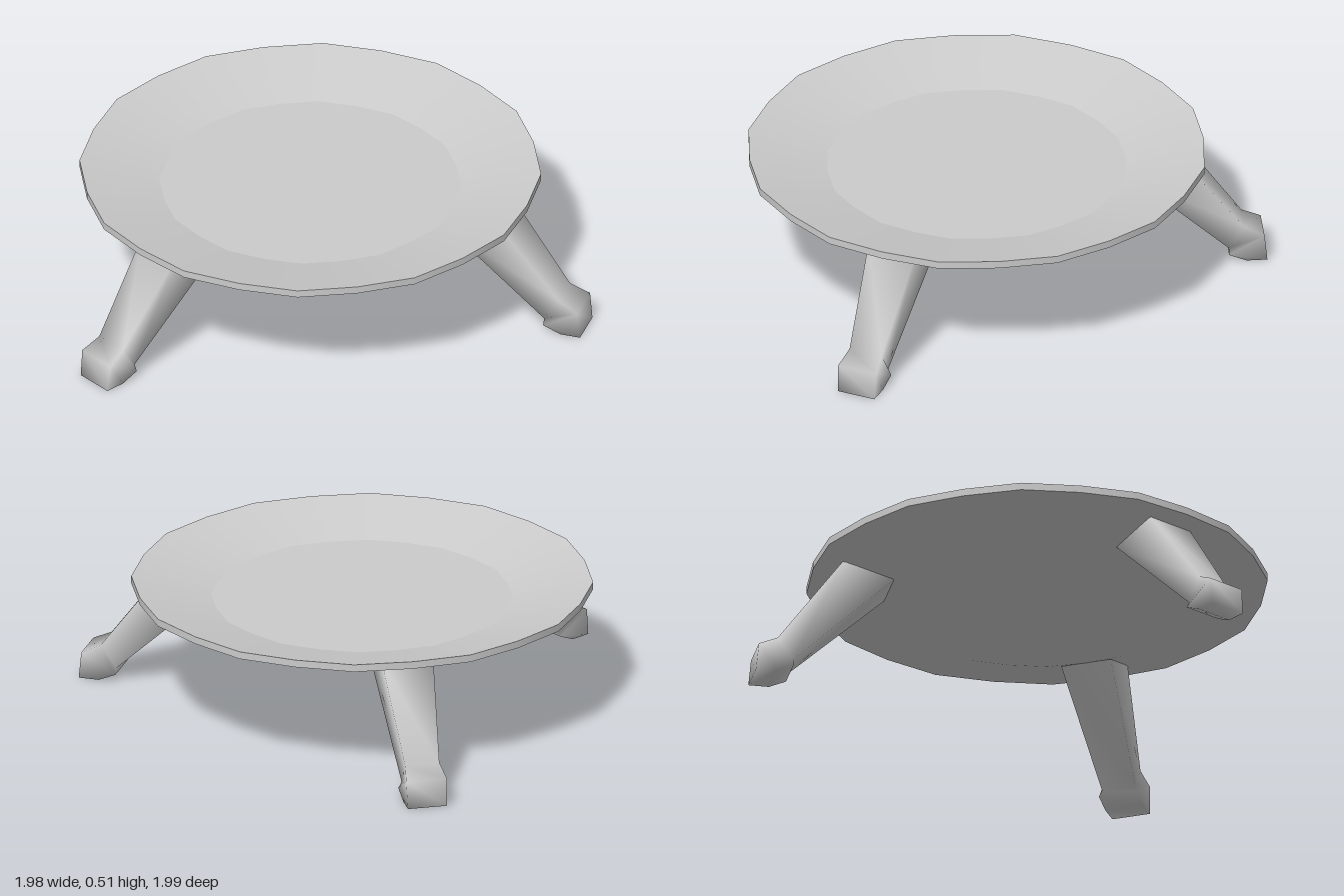
import * as THREE from 'three';

const material = new THREE.MeshStandardMaterial({ color: 0xcccccc, side: THREE.DoubleSide });
const SIDES = 24;

// One smooth band of the dish, swept from [radius, y] points; every other
// corner sits slightly further out, giving the rim its faceted outline.
function dishBand(name, points) {
  const geometry = new THREE.LatheGeometry(points.map(([r, y]) => new THREE.Vector2(r, y)), SIDES);
  const pos = geometry.attributes.position;
  for (let i = 0; i < pos.count; i++) {
    const side = Math.floor(i / points.length);
    const k = side % 2 ? 1.013 : 1;
    pos.setXYZ(i, pos.getX(i) * k, pos.getY(i), pos.getZ(i) * k);
  }
  const mesh = new THREE.Mesh(geometry, material);
  mesh.name = name;
  return mesh;
}

// Splayed four-sided leg with a flared foot, softened by shared normals.
// Each section: outer radius, outer y, inner radius, inner y, half width.
function legGeometry() {
  const sections = [
    [0.773, 0.472, 0.575, 0.412, 0.1],
    [1.02, 0.143, 0.96, 0.053, 0.067],
    [1.096, 0.106, 0.96, 0.03, 0.08],
    [1.107, 0, 1.027, 0, 0.076],
  ];
  const vertices = [];
  const faces = [];
  for (const [ro, yo, ri, yi, w] of sections) {
    vertices.push(ro, yo, w, ro, yo, -w, ri, yi, -w, ri, yi, w);
  }
  for (let s = 0; s < sections.length - 1; s++) {
    for (let j = 0; j < 4; j++) {
      const a = s * 4 + j;
      const b = s * 4 + ((j + 1) % 4);
      faces.push(a, a + 4, b + 4, a, b + 4, b);
    }
  }
  // sole
  const e = (sections.length - 1) * 4;
  faces.push(e, e + 3, e + 2, e, e + 2, e + 1);

  const geometry = new THREE.BufferGeometry();
  geometry.setAttribute('position', new THREE.Float32BufferAttribute(vertices, 3));
  geometry.setIndex(faces);
  geometry.computeVertexNormals();
  return geometry;
}

export function createModel() {
  const model = new THREE.Group();
  model.name = 'threeLeggedDish';

  // shallow dish
  const dish = new THREE.Group();
  dish.name = 'dish';
  dish.add(
    dishBand('underside', [[0, 0.41], [0.57, 0.41], [0.77, 0.468], [0.87, 0.477]]),
    dishBand('rim', [[0.87, 0.477], [0.87, 0.506]]),
    dishBand('innerSlope', [[0.87, 0.506], [0.57, 0.436]]),
    dishBand('floor', [[0.57, 0.436], [0, 0.436]]),
  );
  model.add(dish);

  // three legs around the dish
  const geometry = legGeometry();
  ['leftLeg', 'backRightLeg', 'frontRightLeg'].forEach((name, i) => {
    const leg = new THREE.Mesh(geometry, material);
    leg.name = name;
    leg.rotation.y = (i * Math.PI * 2) / 3;
    model.add(leg);
  });

  // the legs' footprint, not the dish, is centred
  model.position.x = -0.12;
  const root = new THREE.Group();
  root.add(model);
  return root;
}
